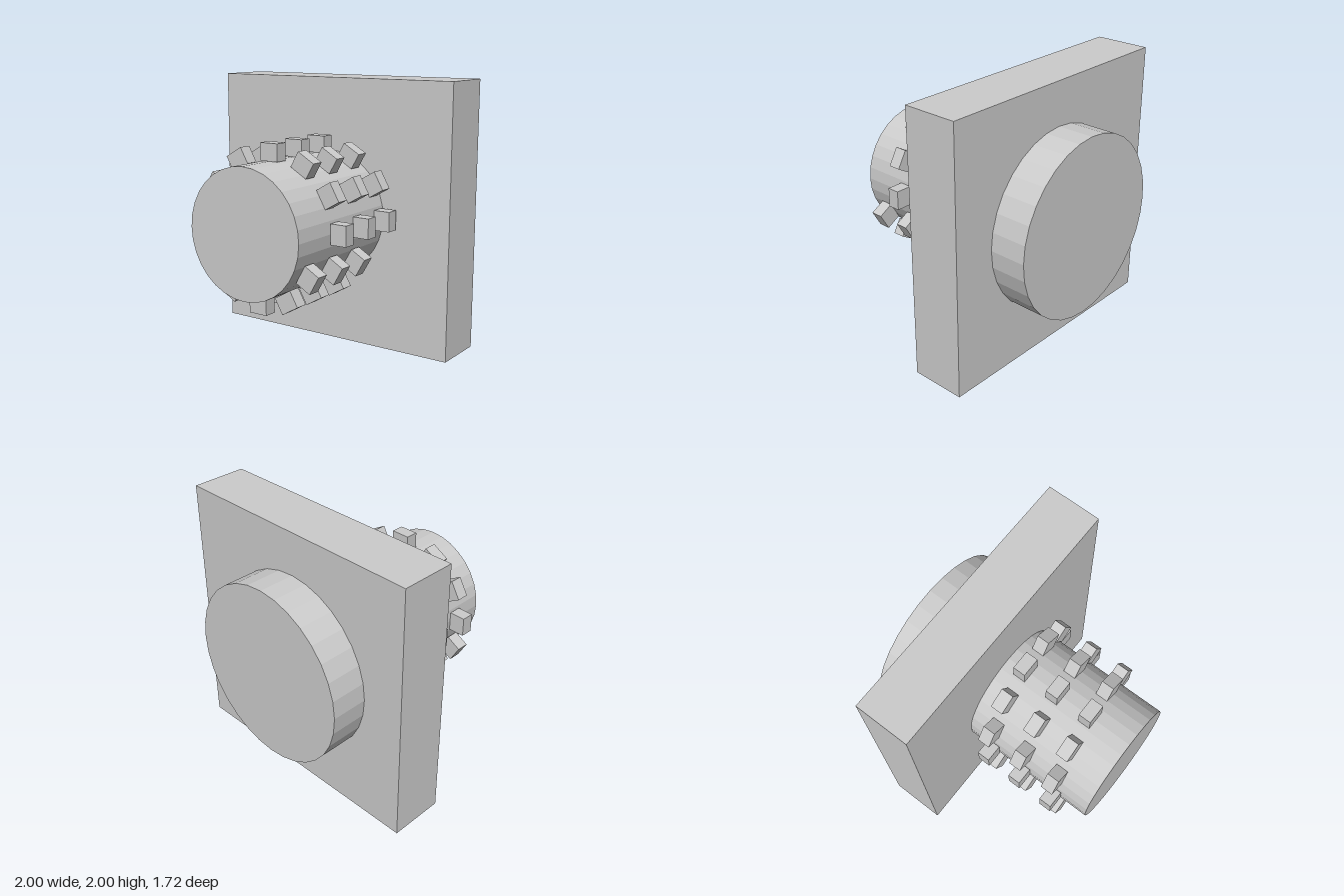
import * as THREE from 'three';

const material = new THREE.MeshStandardMaterial({ color: 0xcccccc, flatShading: true });

function add(parent, name, geometry, x, y, z) {
  const mesh = new THREE.Mesh(geometry, material);
  mesh.name = name;
  mesh.position.set(x, y, z);
  parent.add(mesh);
  return mesh;
}

// 32-sided cylinder lying along z
function drum(radius, depth) {
  return new THREE.CylinderGeometry(radius, radius, depth, 32).rotateX(Math.PI / 2);
}

export function createModel() {
  const model = new THREE.Group();
  model.name = 'studdedDrumOnPlate';

  // Square mounting plate with a disc behind and a drum in front
  add(model, 'plate', new THREE.BoxGeometry(2, 2, 0.413), 0, 1, -0.38);
  add(model, 'backDisc', drum(0.675, 0.275), 0, 1, -0.724);
  add(model, 'drum', drum(0.4625, 1.035), 0, 1, 0.3445);

  // Studs wind around the drum in a helix: three turns of twelve
  const studs = new THREE.Group();
  studs.name = 'helicalStuds';
  model.add(studs);
  const studGeometry = new THREE.BoxGeometry(0.125, 0.146, 0.095);
  const perTurn = 12, turns = 3, pitch = 0.277, ring = 0.525;
  for (let i = 0; i < perTurn * turns; i++) {
    const angle = (i / perTurn) * Math.PI * 2;
    const stud = add(studs, 'stud', studGeometry,
      ring * Math.cos(angle), 1 + ring * Math.sin(angle), -0.095 + (i / perTurn) * pitch);
    stud.rotation.z = angle;
  }
  return model;
}
